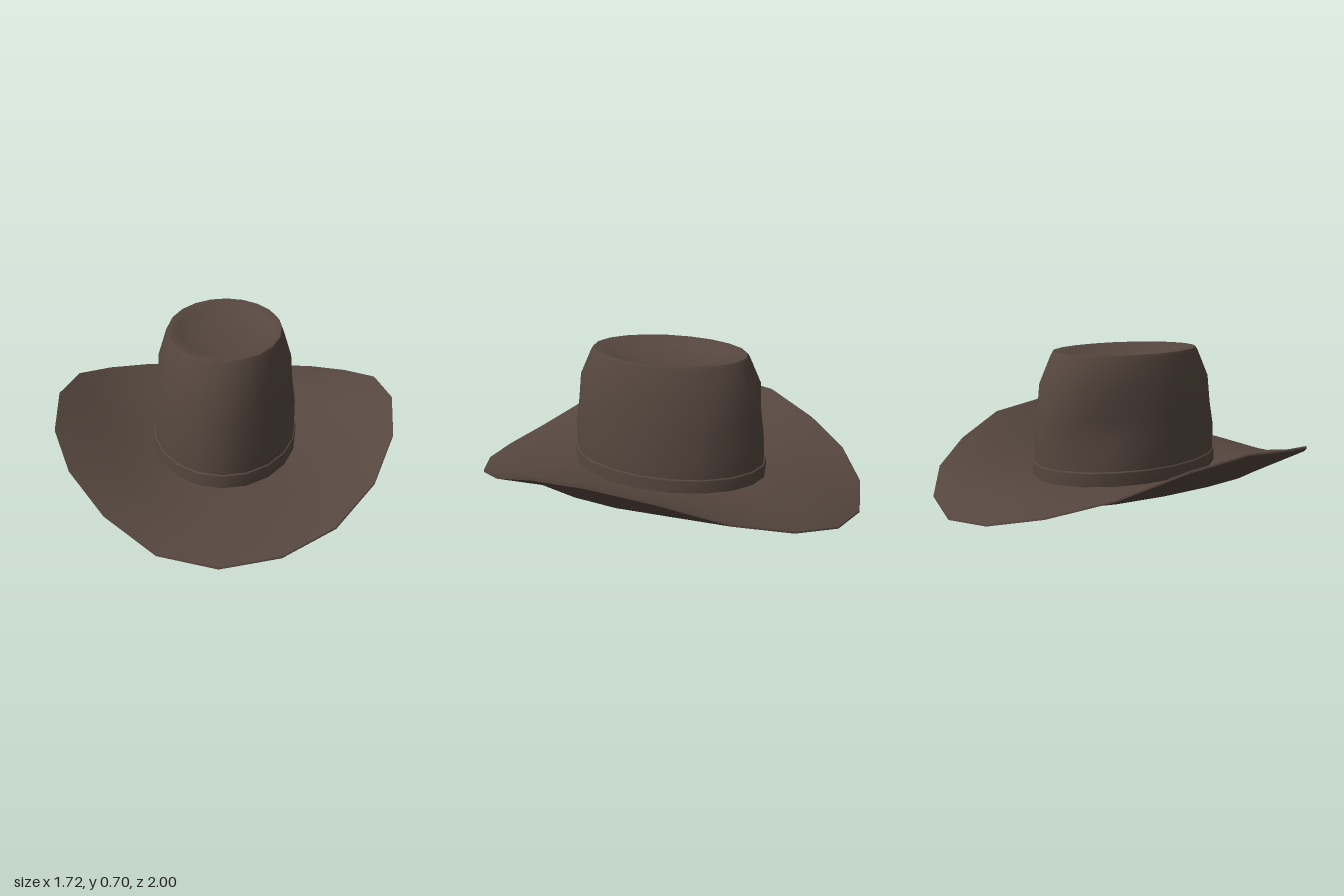
import * as THREE from 'three';

const SIDES = 20;
const felt = new THREE.MeshStandardMaterial({ color: 0x56473f, side: THREE.DoubleSide });
felt.name = 'brown felt';

// Skin closed rings; each ring is a rule (step) -> [rx, rz, y]
function skin(name, rings) {
  const pos = [], index = [];
  rings.forEach((ring, i) => {
    for (let j = 0; j < SIDES; j++) {
      const a = (j / SIDES) * Math.PI * 2;
      const [rx, rz, y] = ring(j);
      pos.push(rx * Math.sin(a), y, rz * Math.cos(a));
      if (i === 0) continue;
      const n = (j + 1) % SIDES, lo = (i - 1) * SIDES, hi = i * SIDES;
      index.push(lo + j, lo + n, hi + n, lo + j, hi + n, hi + j);
    }
  });
  const g = new THREE.BufferGeometry();
  g.setAttribute('position', new THREE.Float32BufferAttribute(pos, 3));
  g.setIndex(index);
  g.computeVertexNormals();
  const mesh = new THREE.Mesh(g, felt);
  mesh.name = name;
  return mesh;
}

const flat = (rx, rz, y) => () => [rx, rz, y];

// Ring pressed in at the right rear of the crown
const dented = (rx, rz, y, depth) => (j) => {
  const k = 1 - depth * Math.exp(-(((j - 12.5) / 1.3) ** 2));
  return [rx * k, rz * k, y];
};

// Rim height from front (0) to back (10); the right front curls a little higher
const rim = [0.03, 0.055, 0.105, 0.19, 0.285, 0.32, 0.285, 0.19, 0.11, 0.045, 0.012];
function rimHeight(j) {
  const curl = j === 17 || j === 18 ? 0.045 : 0;
  return rim[Math.min(j, SIDES - j)] + curl;
}
function midHeight(j) {
  const s = Math.sin((j / SIDES) * Math.PI * 2);
  return 0.038 + (s < 0 ? 0.075 : 0.065) * s * s;
}

export function createModel() {
  const hat = new THREE.Group();
  hat.name = 'hat';

  // Brim: two skins, thick at the crown and thin at the rim
  hat.add(skin('brimUnderside', [
    flat(0.365, 0.505, 0.02),
    (j) => [0.61, 0.75, midHeight(j)],
    (j) => [0.86, 1, rimHeight(j) - 0.012],
  ]));
  hat.add(skin('brimTop', [
    (j) => [0.86, 1, rimHeight(j) - 0.012],
    (j) => [0.858, 0.998, rimHeight(j)],
    (j) => [0.61, 0.75, midHeight(j) + 0.05],
    flat(0.366, 0.51, 0.095),
  ]));

  // Crown wall
  hat.add(skin('crownWall', [
    flat(0.365, 0.505, 0.02),
    dented(0.363, 0.508, 0.16, 0.02),
    dented(0.362, 0.51, 0.29, 0.09),
    dented(0.345, 0.49, 0.41, 0.07),
    flat(0.333, 0.475, 0.55),
    flat(0.29, 0.412, 0.685),
    flat(0.282, 0.402, 0.699),
  ]));

  // Dished crown top
  hat.add(skin('crownTop', [
    flat(0.282, 0.402, 0.699),
    flat(0.265, 0.38, 0.698),
    flat(0.23, 0.32, 0.688),
    flat(0.19, 0.255, 0.665),
    flat(0.1, 0.13, 0.654),
    flat(0.001, 0.001, 0.651),
  ]));

  // Band around the foot of the crown
  hat.add(skin('band', [
    flat(0.371, 0.517, 0.08),
    flat(0.371, 0.517, 0.157),
    flat(0.369, 0.515, 0.162),
    dented(0.364, 0.509, 0.163, 0.02),
  ]));

  return hat;
}
